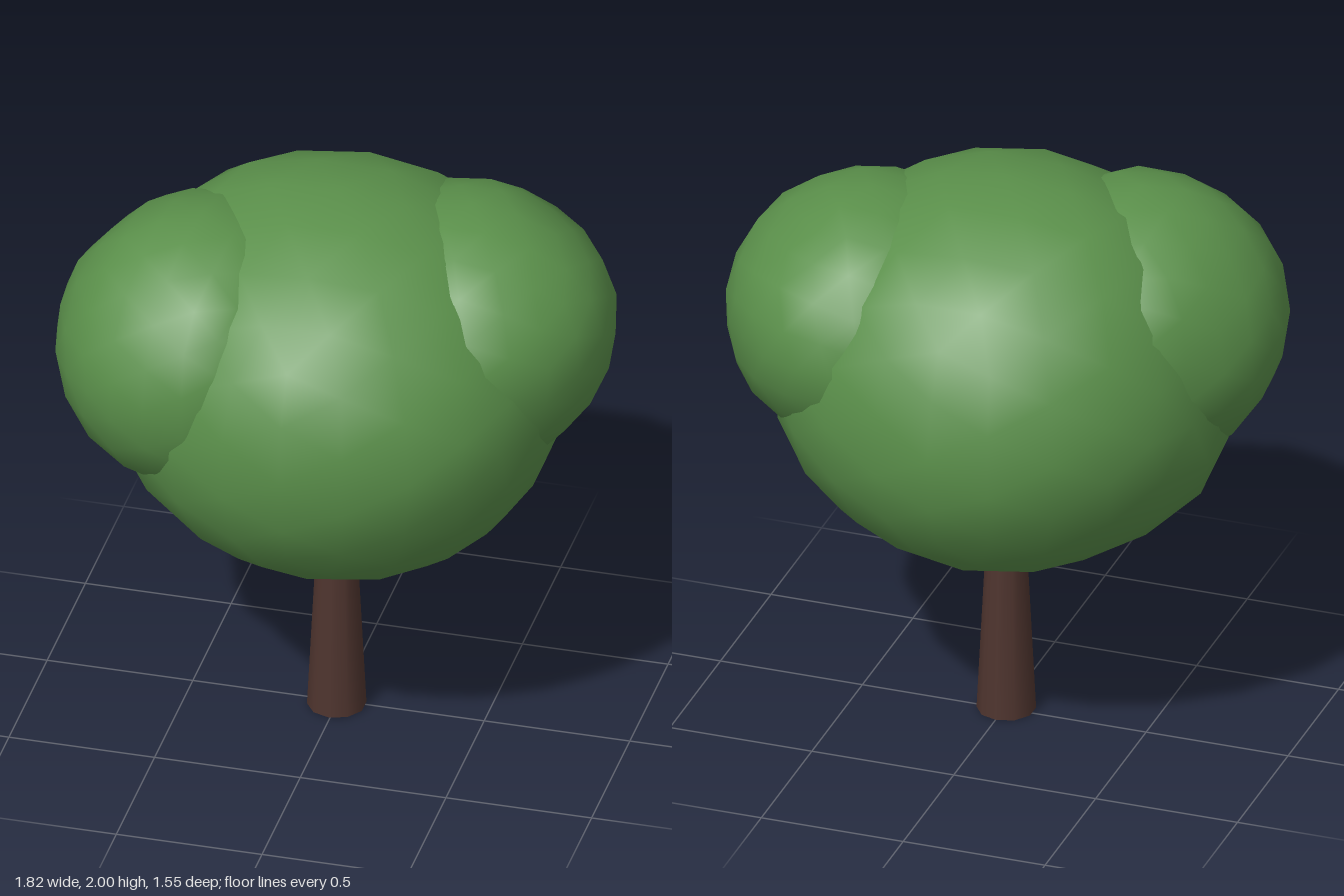
import * as THREE from 'three';
import { mergeVertices } from 'three/addons/utils/BufferGeometryUtils.js';

// Smooth-shaded ellipsoid of leaves; each bulge is [direction x, y, z, amount], negative for a dent
function leafBall(name, material, center, radii, lump, yaw, bulges) {
  let geo = new THREE.IcosahedronGeometry(1, 3);
  geo.deleteAttribute('normal');
  geo.deleteAttribute('uv');
  geo = mergeVertices(geo, 1e-4);
  geo.rotateY(yaw);
  const pos = geo.attributes.position;
  const v = new THREE.Vector3();
  const dirs = bulges.map(([x, y, z]) => new THREE.Vector3(x, y, z).normalize());
  for (let i = 0; i < pos.count; i++) {
    v.fromBufferAttribute(pos, i);
    // the fine lumps vanish along the axes, so the overall size is kept
    let scale = 1 + lump * (Math.sin(11 * v.x * v.y) + Math.sin(13 * v.y * v.z) + Math.sin(9 * v.z * v.x));
    dirs.forEach((d, k) => { scale += bulges[k][3] * Math.max(0, v.dot(d)) ** 18; });
    v.multiplyScalar(scale);
    pos.setXYZ(i, v.x, v.y, v.z);
  }
  geo.scale(...radii);
  geo.computeVertexNormals();
  const mesh = new THREE.Mesh(geo, material);
  mesh.name = name;
  mesh.position.set(...center);
  return mesh;
}

export function createModel() {
  const tree = new THREE.Group();
  tree.name = 'tree';
  const bark = new THREE.MeshStandardMaterial({ name: 'bark brown', color: 0x4e342e });
  const leaves = new THREE.MeshStandardMaterial({ name: 'leaf green', color: 0x5a8f4a });

  // Tapered trunk, its top hidden inside the crown
  const trunk = new THREE.Mesh(new THREE.CylinderGeometry(0.057, 0.099, 0.84, 10), bark);
  trunk.name = 'trunk';
  trunk.position.set(-0.003, 0.42, 0.012);
  tree.add(trunk);

  // Crown: one large ball with a smaller one on each side
  const crown = new THREE.Group();
  crown.name = 'crown';
  crown.add(
    leafBall('mainCrown', leaves, [0, 1.31, 0], [0.78, 0.69, 0.78], 0.003, 0, [
      [-0.9, -0.45, 0, 0.05],
      [0.45, -0.9, 0, 0.04],
      [0.58, 0, 0.82, 0.03],
      [0.35, 0, -0.93, -0.03],
      [0, 0.4, -0.92, -0.035],
      [0, 0.45, 0.9, 0.02],
      [-0.55, 0.83, -0.15, 0.045],
    ]),
    leafBall('rightCrown', leaves, [-0.42, 1.46, 0.18], [0.49, 0.49, 0.52], 0.008, 0.4, [
      [-0.65, 0.7, -0.25, -0.045],
      [-0.25, 0.3, -0.9, 0.08],
    ]),
    leafBall('leftCrown', leaves, [0.43, 1.49, -0.11], [0.485, 0.455, 0.525], 0.008, 1.1, [
      [0.8, 0.5, -0.1, 0.02],
      [0.7, 0, -0.7, -0.05],
      [0.45, 0.75, -0.5, -0.06],
      [0.4, -0.7, 0.5, 0.04],
      [-0.3, 0.4, 0.85, 0.03],
    ]),
  );
  tree.add(crown);
  return tree;
}
